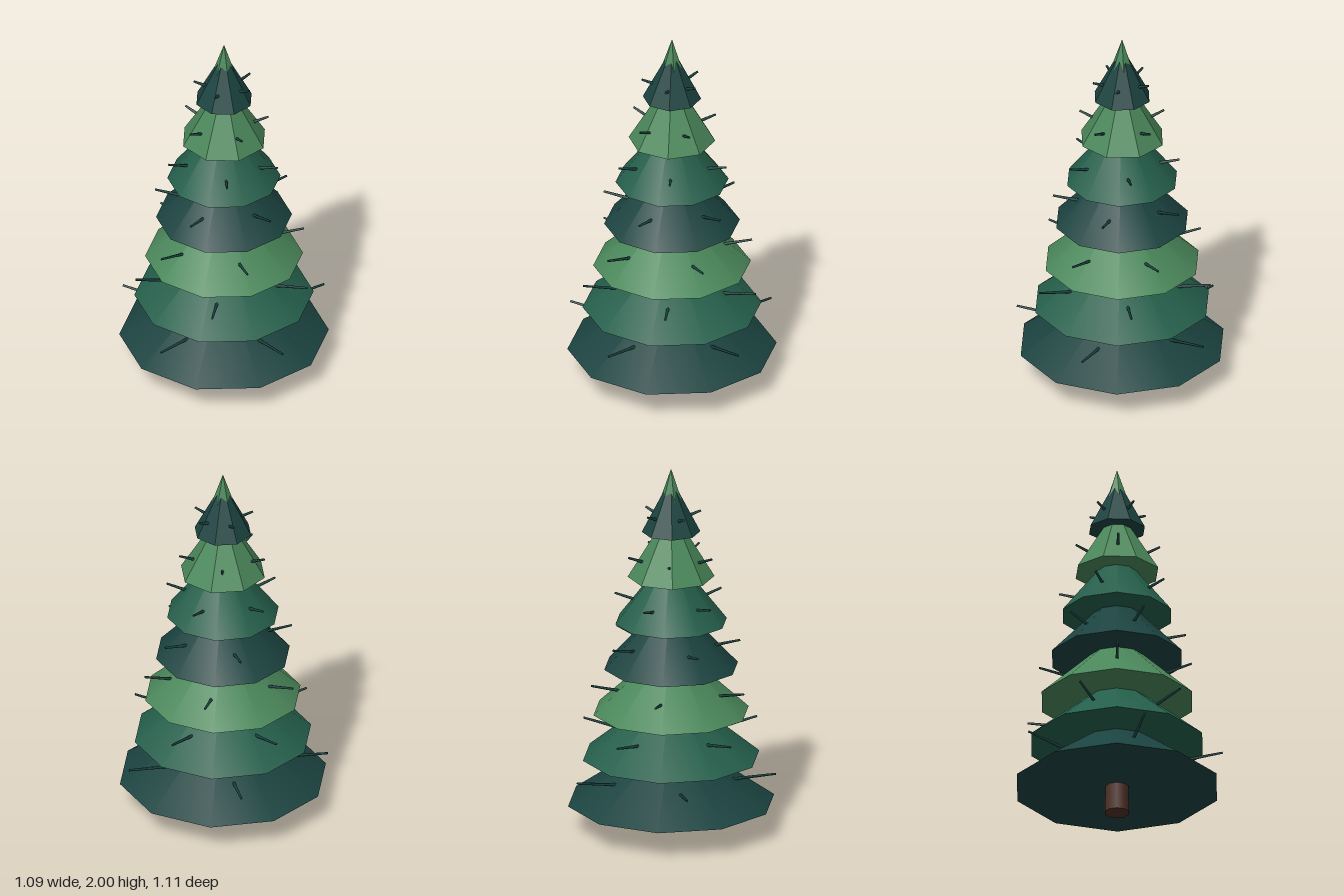
import * as THREE from 'three';

const DARK = 0x1b4340, MID = 0x255f4b, LIGHT = 0x4a875a;

// base height, base radius, cone height, sides, colour, twig tip height, twig slope, twig angles in degrees
const TIERS = [
  [0.15, 0.555, 0.39, 10, DARK, 0.33, 0.18, [1, 76.5, 146.5, 218, 289]],
  [0.40, 0.475, 0.39, 10, MID, 0.567, 0.19, [-27, 44, 117.5, 186, 263]],
  [0.65, 0.418, 0.39, 10, LIGHT, 0.80, 0.20, [-48, 17, 93, 161.5, 238]],
  [0.90, 0.36, 0.39, 10, DARK, 1.05, 0.22, [-76, -4.5, 68, 139, 204]],
  [1.15, 0.30, 0.39, 10, MID, 1.285, 0.25, [-30, 42, 107, 184, 255]],
  [1.40, 0.23, 0.38, 8, LIGHT, 1.525, 0.38, [-60, 16.5, 86, 160, 230]],
  [1.65, 0.155, 0.30, 8, DARK, 1.76, 0.39, [-82, -10, 52, 128, 202]],
];

function addMesh(parent, name, geometry, color, flatShading = false) {
  const material = new THREE.MeshStandardMaterial({ color, flatShading });
  const mesh = new THREE.Mesh(geometry, material);
  mesh.name = name;
  parent.add(mesh);
  return mesh;
}

// Thin tapered twig running outwards and slightly upwards
function addTwig(parent, angle, tipRadius, tipY, slope) {
  const a = THREE.MathUtils.degToRad(angle);
  const inner = tipRadius * 0.5;
  const point = (r, y) => new THREE.Vector3(Math.cos(a) * r, y, Math.sin(a) * r);
  const start = point(inner, tipY - slope * (tipRadius - inner));
  const end = point(tipRadius, tipY);
  const dir = end.clone().sub(start);
  const twig = addMesh(parent, 'twig',
    new THREE.CylinderGeometry(0.006, 0.01, dir.length(), 5), DARK);
  twig.position.copy(start).add(end).multiplyScalar(0.5);
  twig.quaternion.setFromUnitVectors(new THREE.Vector3(0, 1, 0), dir.normalize());
}

export function createModel() {
  const tree = new THREE.Group();
  tree.name = 'tree';
  const body = new THREE.Group();
  body.name = 'treeBody';
  body.position.x = -0.022;
  tree.add(body);

  // Trunk
  addMesh(body, 'trunk', new THREE.CylinderGeometry(0.06, 0.067, 0.3, 10), 0x4e2e24)
    .position.y = 0.15;

  // Stacked foliage cones, each with its ring of twigs
  TIERS.forEach(([y, r, h, sides, color, tipY, slope, angles], i) => {
    const tier = new THREE.Group();
    tier.name = `tier${i + 1}`;
    body.add(tier);
    addMesh(tier, 'foliage', new THREE.ConeGeometry(r, h, sides), color, sides < 10)
      .position.y = y + h / 2;
    for (const angle of angles) addTwig(tier, angle, r * 1.005 + 0.004, tipY, slope);
  });

  // Pointed top
  addMesh(body, 'treeTip', new THREE.ConeGeometry(0.085, 0.25, 6), LIGHT, true)
    .position.y = 1.875;

  return tree;
}
